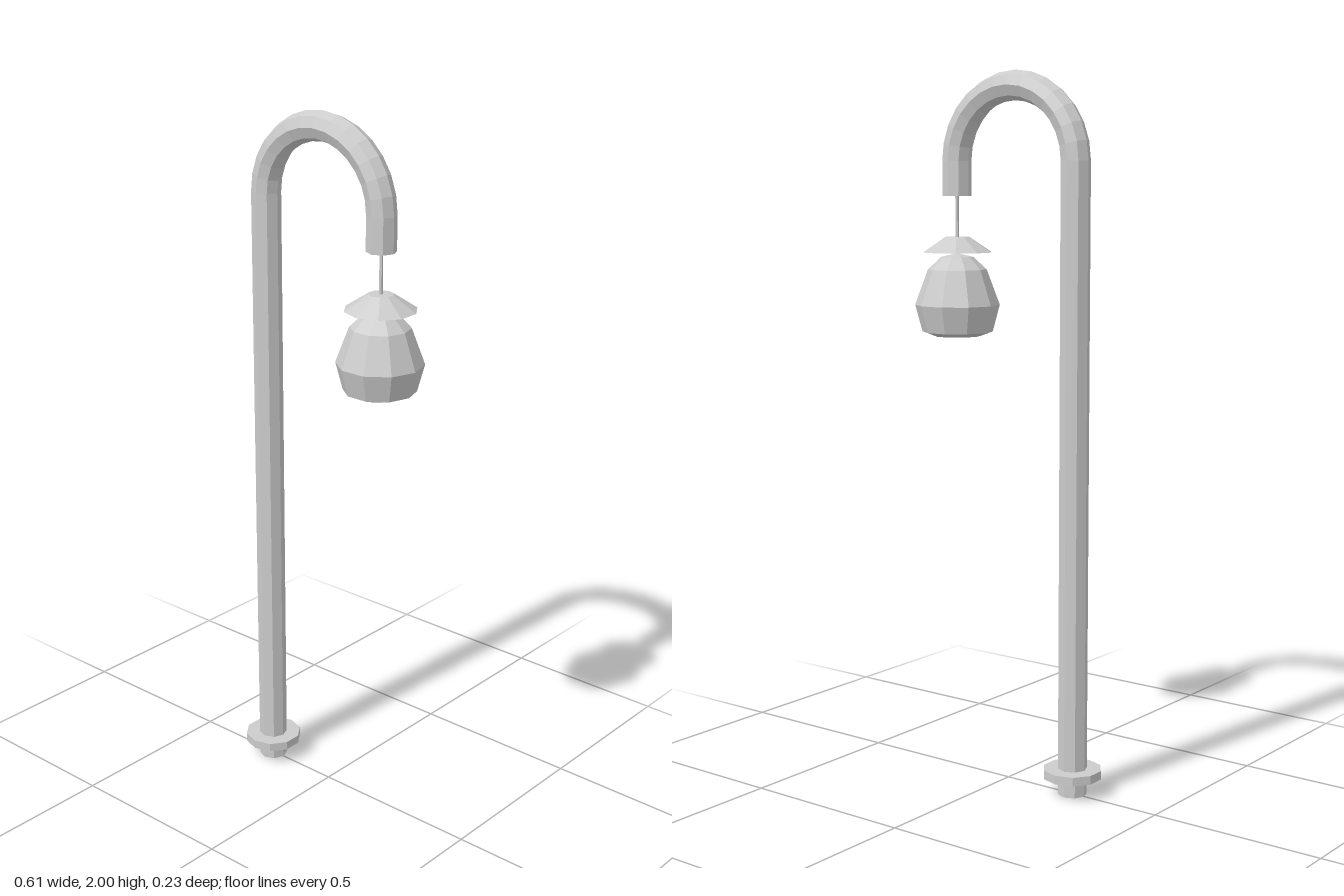
import * as THREE from 'three';

export function createModel() {
  const model = new THREE.Group();
  const grey = new THREE.MeshStandardMaterial({ color: 0xcccccc });
  grey.name = 'light grey metal';

  // faceted mesh with one normal per face
  function add(name, geometry, x, y, turn = 0) {
    const flat = geometry.toNonIndexed();
    flat.computeVertexNormals();
    const mesh = new THREE.Mesh(flat, grey);
    mesh.name = name;
    mesh.position.set(x, y, 0);
    mesh.rotation.y = turn;
    model.add(mesh);
  }

  // upright cylinder between two heights
  function column(name, x, y0, y1, rTop, rBottom, sides) {
    add(name, new THREE.CylinderGeometry(rTop, rBottom, y1 - y0, sides), x, (y0 + y1) / 2);
  }

  const poleX = -0.225, lampX = 0.182, tube = 0.041, bendY = 1.757;

  // post, half-circle bend and short drop end
  column('pole', poleX, 0, bendY, tube, tube, 8);
  add('bend', new THREE.TorusGeometry((lampX - poleX) / 2, tube, 8, 14, Math.PI), (poleX + lampX) / 2, bendY);
  column('spout', lampX, 1.66, bendY, tube, tube, 8);

  // base collar
  column('baseCollar', poleX, 0.05, 0.075, 0.083, 0.083, 10);

  // hanging lamp
  column('wire', lampX, 1.49, 1.68, 0.005, 0.005, 6);
  column('shade', lampX, 1.503, 1.546, 0.035, 0.1, 10);
  const profile = [[0, 1.265], [0.068, 1.267], [0.1, 1.279], [0.12, 1.355], [0.083, 1.455], [0.045, 1.49], [0, 1.5]];
  add('globe', new THREE.LatheGeometry(profile.map(([r, y]) => new THREE.Vector2(r, y)), 10), lampX, 0, Math.PI / 2);

  return model;
}
